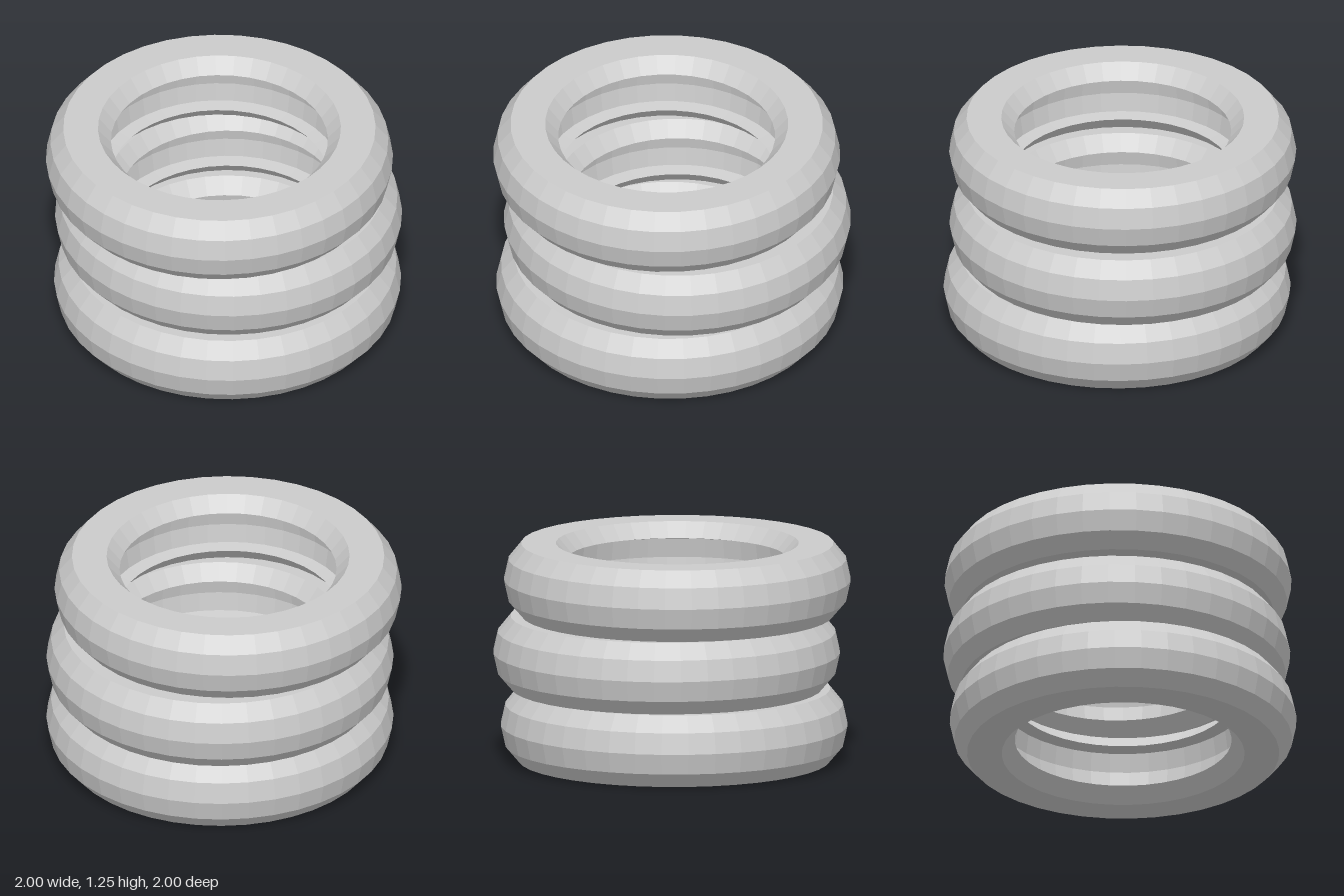
import * as THREE from 'three';

const RING_HEIGHT = 0.414;
const RING_STEP = 0.418;
const SIDES = 40;

// Closed tyre cross-section [radius, height]: tread upwards, then down the hollow inside
const PROFILE = [
  [0.683, 0], [0.878, 0.006], [0.95, 0.09], [0.976, 0.207], [0.95, 0.325], [0.878, RING_HEIGHT],
  [0.683, RING_HEIGHT], [0.61, 0.33], [0.683, 0.315], [0.7, 0.207], [0.683, 0.1], [0.61, 0.085],
  [0.683, 0],
];

export function createModel() {
  const group = new THREE.Group();
  group.name = 'tyreStack';

  const material = new THREE.MeshStandardMaterial({ color: 0xcccccc, flatShading: true });
  const geometry = new THREE.LatheGeometry(PROFILE.map(([r, y]) => new THREE.Vector2(r, y)), SIDES);

  // Three tyres, each nudged a little off centre
  const tyres = [
    ['bottomTyre', 0.023, 0.023],
    ['middleTyre', 0.023, -0.023],
    ['topTyre', -0.023, 0.023],
  ];
  tyres.forEach(([name, x, z], i) => {
    const tyre = new THREE.Mesh(geometry, material);
    tyre.name = name;
    tyre.position.set(x, i * RING_STEP, z);
    group.add(tyre);
  });

  return group;
}
